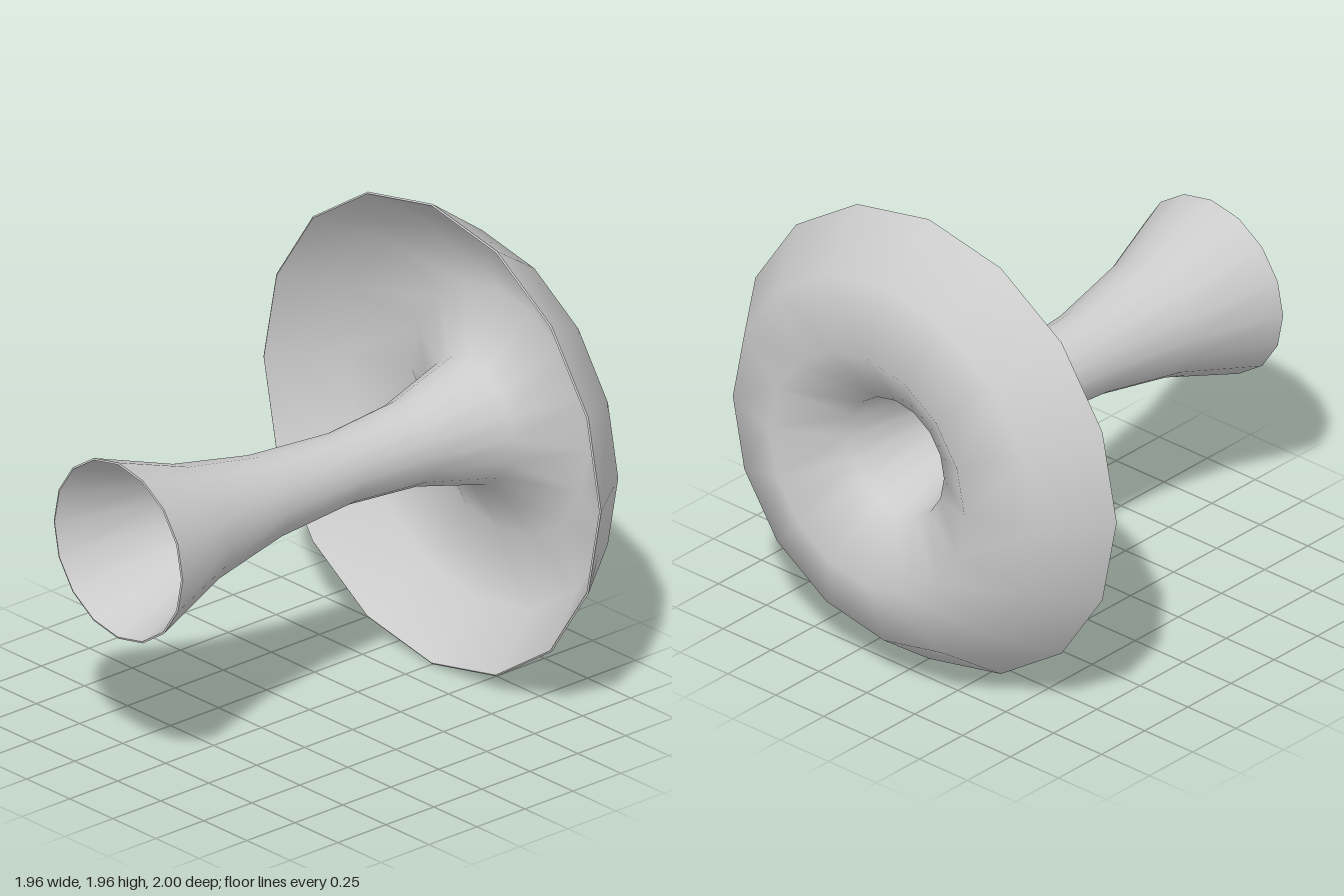
import * as THREE from 'three';

const SIDES = 16;
const HALF_WALL = 0.004;

// Centre line of the wall as (radius, z), from the dish rim through the fold and neck to the flared mouth
const PROFILE = [
  [0.977, -0.638], [0.787, -0.897], [0.51, -0.996], [0.255, -0.83], [0.168, -0.5],
  [0.141, -0.15], [0.17, 0.26], [0.241, 0.63], [0.371, 0.998],
].map(([r, z]) => new THREE.Vector2(r, z));

// Shift the profile sideways along its own normals
function offset(points, d) {
  return points.map((p, i) => {
    const a = points[Math.max(i - 1, 0)];
    const b = points[Math.min(i + 1, points.length - 1)];
    const t = b.clone().sub(a).normalize();
    return new THREE.Vector2(p.x + t.y * d, p.y - t.x * d);
  });
}

export function createModel() {
  const group = new THREE.Group();
  group.name = 'flaredHornWithDish';
  const material = new THREE.MeshStandardMaterial({ color: 0xcccccc, side: THREE.DoubleSide });

  // Revolve a profile about the z axis
  const addLathe = (name, points) => {
    const geometry = new THREE.LatheGeometry(points, SIDES);
    geometry.rotateX(Math.PI / 2);
    const mesh = new THREE.Mesh(geometry, material);
    mesh.name = name;
    mesh.position.y = 0.985;
    group.add(mesh);
  };

  // Two skins of the thin wall
  const front = offset(PROFILE, HALF_WALL);
  const back = offset(PROFILE, -HALF_WALL).reverse();
  addLathe('neckOutsideAndDishInside', front);
  addLathe('neckInsideAndDishOutside', back);

  // Narrow rims closing the wall at both ends
  addLathe('mouthRim', [front.at(-1), back[0]]);
  addLathe('dishRim', [back.at(-1), front[0]]);

  return group;
}
